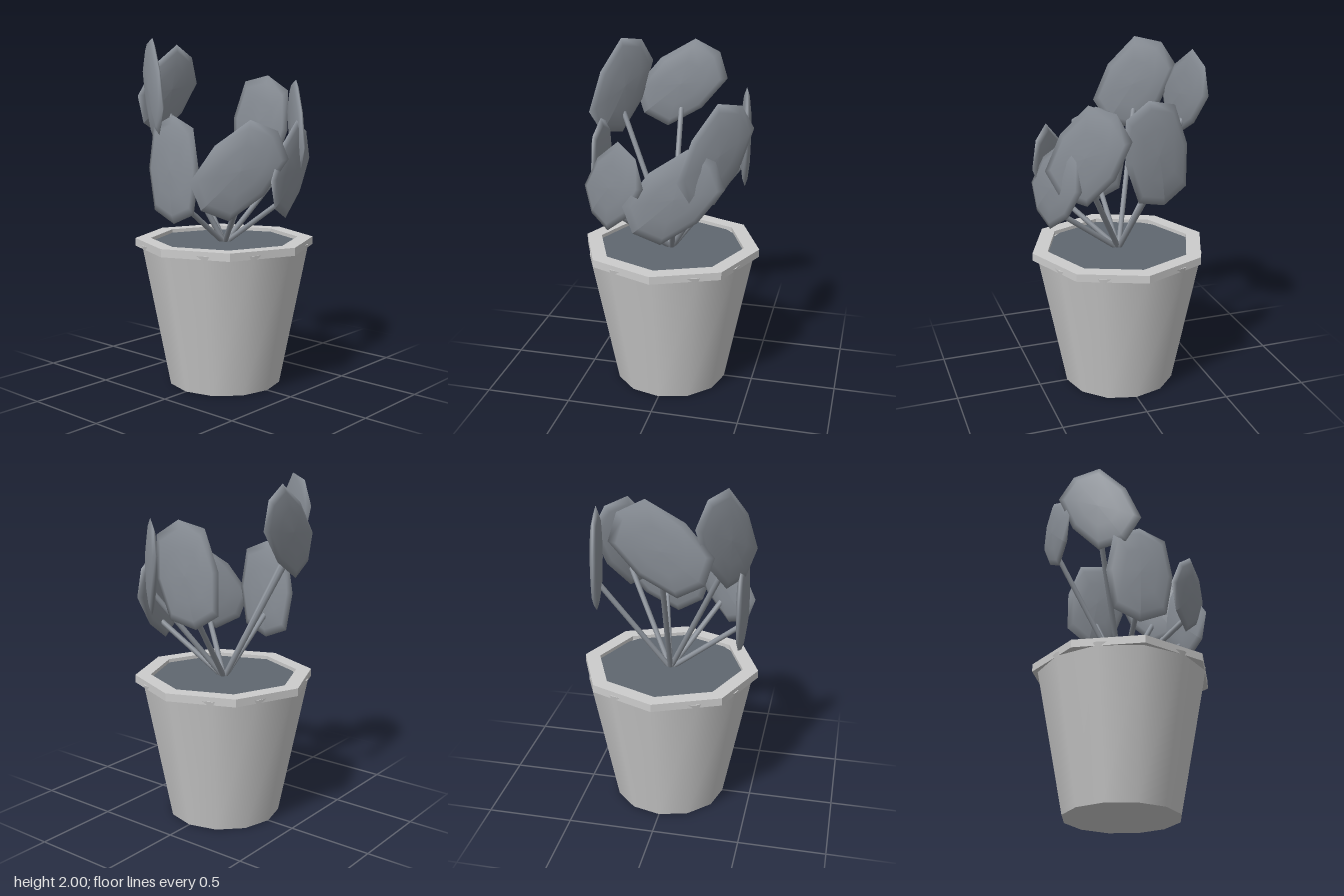
import * as THREE from 'three';

const RAD = Math.PI / 180;
const potMat = new THREE.MeshStandardMaterial({ color: 0xcccccc });
const rimMat = new THREE.MeshStandardMaterial({ color: 0xcccccc, flatShading: true });
const soilMat = new THREE.MeshStandardMaterial({ color: 0x5f6770 });
const leafMat = new THREE.MeshStandardMaterial({ color: 0x8a9098 });

function add(parent, name, geometry, material) {
  const mesh = new THREE.Mesh(geometry, material);
  mesh.name = name;
  parent.add(mesh);
  return mesh;
}

// Eight-cornered ring path, corners on the axes
function octagon(PathType, r) {
  const pts = [];
  for (let i = 0; i < 8; i++) {
    pts.push(new THREE.Vector2(r * Math.cos(i * 45 * RAD), r * Math.sin(i * 45 * RAD)));
  }
  return new PathType(pts);
}

// Thin lens with an eight-sided outline, facing +z and long in y
function leafGeometry(halfWidth, halfLength, halfThick) {
  const profile = [[0, -1], [0.5, -0.88], [0.84, -0.5], [1, 0], [0.84, 0.5], [0.5, 0.88], [0, 1]];
  const geo = new THREE.LatheGeometry(profile.map(([r, y]) => new THREE.Vector2(r, y)), 8);
  geo.rotateX(Math.PI / 2);
  // Push the diagonal corners out for a fuller outline
  const pos = geo.attributes.position;
  for (let i = 0; i < pos.count; i++) {
    const x = pos.getX(i), y = pos.getY(i);
    if (Math.abs(x * y) > 1e-4) pos.setXY(i, x * 1.11, y * 1.11);
  }
  geo.scale(halfWidth, halfLength, halfThick);
  geo.computeVertexNormals();
  return geo;
}

// Straight stem between two points
function addStem(parent, from, to, radius) {
  const dir = to.clone().sub(from);
  const stem = add(parent, 'stem', new THREE.CylinderGeometry(radius, radius, dir.length(), 8), leafMat);
  stem.position.copy(from).add(to).multiplyScalar(0.5);
  stem.quaternion.setFromUnitVectors(new THREE.Vector3(0, 1, 0), dir.normalize());
}

export function createModel() {
  const model = new THREE.Group();
  model.name = 'pottedPlant';

  // Tapered twelve-sided pot
  const potTop = 0.83;
  const pot = add(model, 'pot', new THREE.CylinderGeometry(0.492, 0.33, potTop, 12), potMat);
  pot.position.y = potTop / 2;

  // Octagonal rim
  const rimShape = octagon(THREE.Shape, 0.52);
  rimShape.holes.push(octagon(THREE.Path, 0.43));
  const rimGeo = new THREE.ExtrudeGeometry(rimShape, { depth: 0.045, bevelEnabled: false });
  rimGeo.rotateX(-Math.PI / 2);
  add(model, 'rim', rimGeo, rimMat).position.y = 0.81;

  // Soil
  const soilGeo = new THREE.CircleGeometry(0.43, 12);
  soilGeo.rotateX(-Math.PI / 2);
  add(model, 'soil', soilGeo, soilMat).position.y = potTop + 0.004;

  // Leaves: direction around the pot, height, sideways lean
  const leaves = [
    [0, 1.28, 0], [53, 1.285, 45], [105, 1.275, 48], [138, 1.49, 34],
    [190, 1.5, -10], [275.5, 1.71, -50], [328, 1.72, -33],
  ];
  const leafGeo = leafGeometry(0.192, 0.298, 0.03);
  const root = new THREE.Vector3(0, 0.82, 0);
  for (const [angle, height, lean] of leaves) {
    const sprig = new THREE.Group();
    sprig.name = 'sprig';
    const out = new THREE.Vector3(Math.sin(angle * RAD), 0, Math.cos(angle * RAD));
    const leaf = add(sprig, 'leaf', leafGeo, leafMat);
    leaf.position.copy(out).multiplyScalar(0.417).setY(height);
    leaf.rotation.set(0, angle * RAD, -lean * RAD, 'YXZ');
    addStem(sprig, root, out.clone().multiplyScalar(0.408).setY(height - 0.15), 0.016);
    model.add(sprig);
  }
  return model;
}
